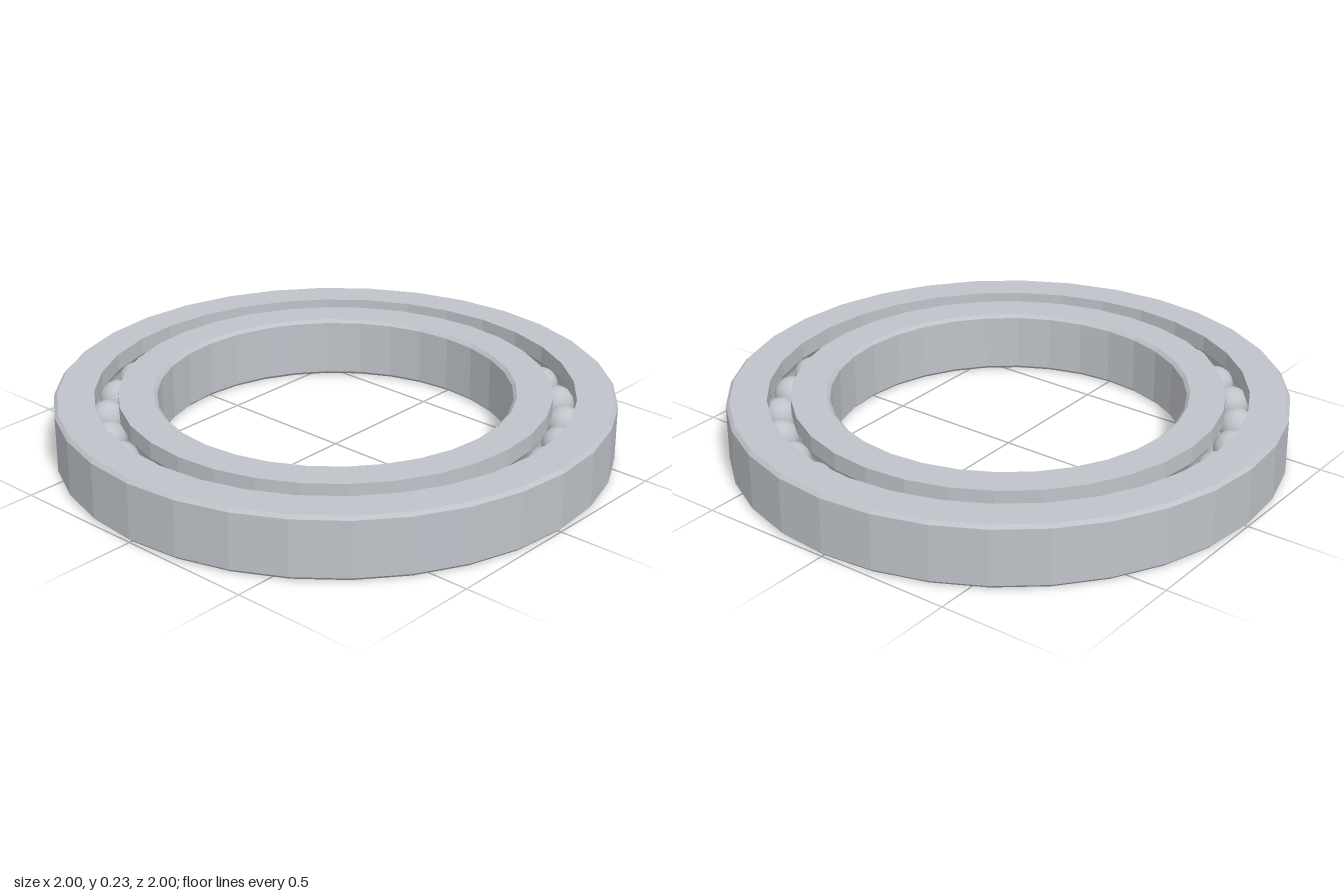
import * as THREE from 'three';

const H = 0.228;          // ring height
const C = 0.012;          // edge chamfer
const PITCH = 0.815;      // radius of the ball circle
const BALL_R = 0.064;
const GROOVE_R = 0.067;
const HALF_GAP = 0.042;   // half the gap between the rings
const BALLS = 29;

// Raceway arc in the (radius, y) plane; side +1 cuts the outer ring, -1 the inner ring
function groove(side) {
  const a = Math.acos(HALF_GAP / GROOVE_R);
  const points = [];
  for (let i = 0; i <= 8; i++) {
    const t = side * a * (1 - i / 4);
    points.push([PITCH + side * GROOVE_R * Math.cos(t), H / 2 + GROOVE_R * Math.sin(t)]);
  }
  return points;
}

// Faceted ring turned from a closed counter-clockwise profile
function ring(name, profile, material) {
  const points = [...profile, profile[0]].map(([r, y]) => new THREE.Vector2(r, y));
  const geometry = new THREE.LatheGeometry(points, 32).toNonIndexed();
  geometry.computeVertexNormals();
  const mesh = new THREE.Mesh(geometry, material);
  mesh.name = name;
  return mesh;
}

export function createModel() {
  const model = new THREE.Group();
  model.name = 'ballBearing';
  const steel = new THREE.MeshStandardMaterial({ color: 0xbfc3c9 });
  steel.name = 'steel';

  // Outer ring with chamfered rim and raceway on its inside
  const gapOut = PITCH + HALF_GAP;
  model.add(ring('outerRing', [
    [gapOut, 0], [1 - C, 0], [1, C], [1, H - C], [1 - C, H], [gapOut, H],
    ...groove(1),
  ], steel));

  // Inner ring with chamfered bore and raceway on its outside
  const gapIn = PITCH - HALF_GAP;
  const bore = 0.635;
  model.add(ring('innerRing', [
    [bore + C, 0], [gapIn, 0], ...groove(-1), [gapIn, H],
    [bore + C, H], [bore, H - C], [bore, C],
  ], steel));

  // Balls evenly spaced in the raceway
  const balls = new THREE.Group();
  balls.name = 'balls';
  const ballGeometry = new THREE.SphereGeometry(BALL_R, 20, 14);
  for (let i = 0; i < BALLS; i++) {
    const t = (i / BALLS) * Math.PI * 2;
    const ball = new THREE.Mesh(ballGeometry, steel);
    ball.name = 'ball';
    ball.position.set(PITCH * Math.cos(t), H / 2, PITCH * Math.sin(t));
    ball.rotation.y = -t;
    balls.add(ball);
  }
  model.add(balls);
  return model;
}
